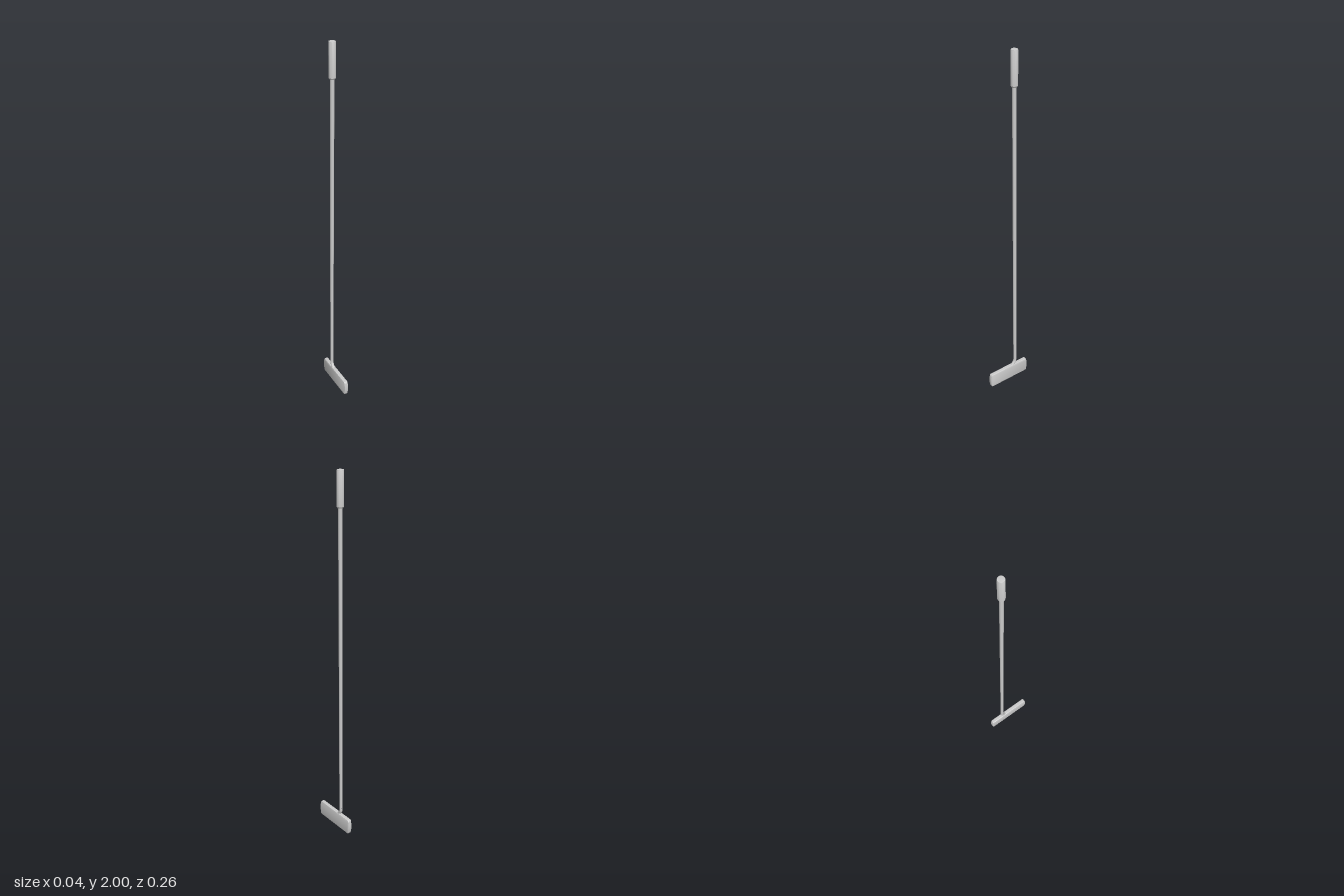
import * as THREE from 'three';
import { toCreasedNormals } from 'three/addons/utils/BufferGeometryUtils.js';

export function createModel() {
  const group = new THREE.Group();
  const material = new THREE.MeshStandardMaterial({ color: 0xcccccc });
  const add = (name, geometry) => {
    const mesh = new THREE.Mesh(geometry, material);
    mesh.name = name;
    group.add(mesh);
    return mesh;
  };

  // Head: side profile with softly bowed ends, extruded across x with bevelled edges
  const bevel = 0.006;
  const profile = new THREE.Shape();
  profile.moveTo(-0.116, 0);
  profile.lineTo(0.116, 0);
  profile.quadraticCurveTo(0.126, 0, 0.127, 0.012);
  profile.quadraticCurveTo(0.134, 0.045, 0.127, 0.078);
  profile.quadraticCurveTo(0.126, 0.09, 0.116, 0.09);
  profile.lineTo(-0.116, 0.09);
  profile.quadraticCurveTo(-0.126, 0.09, -0.127, 0.078);
  profile.quadraticCurveTo(-0.134, 0.045, -0.127, 0.012);
  profile.quadraticCurveTo(-0.126, 0, -0.116, 0);
  const head = new THREE.ExtrudeGeometry(profile, {
    depth: 0.012, bevelThickness: bevel, bevelSize: bevel, bevelOffset: -bevel,
    bevelSegments: 2, curveSegments: 5,
  });
  head.translate(0, 0, -0.006).rotateY(-Math.PI / 2);
  add('head', toCreasedNormals(head, 0.6));

  // Shaft: slim rod leaning slightly forward towards the grip
  const top = new THREE.Vector3(0, 1.84, -0.034);
  const bottom = new THREE.Vector3(0, 0.13, -0.048);
  const direction = top.clone().sub(bottom);
  const shaft = add('shaft',
    new THREE.CylinderGeometry(0.0105, 0.009, direction.length(), 16, 1, true));
  shaft.position.copy(top).add(bottom).multiplyScalar(0.5);
  shaft.quaternion.setFromUnitVectors(new THREE.Vector3(0, 1, 0), direction.normalize());

  // Hosel: bent neck joining the shaft to the head
  const bend = new THREE.CubicBezierCurve3(
    bottom,
    new THREE.Vector3(0, 0.108, -0.048),
    new THREE.Vector3(0, 0.108, -0.048),
    new THREE.Vector3(0, 0.08, -0.026));
  add('hosel', new THREE.TubeGeometry(bend, 10, 0.009, 16));

  // Grip: cylinder with small chamfers and a shallow cap
  const grip = new THREE.LatheGeometry([
    [0, 1.82], [0.014, 1.82], [0.018, 1.827], [0.018, 1.993], [0.0165, 1.998], [0, 2],
  ].map(([r, y]) => new THREE.Vector2(r, y)), 20);
  add('grip', toCreasedNormals(grip, 0.5)).position.z = -0.034;

  return group;
}
